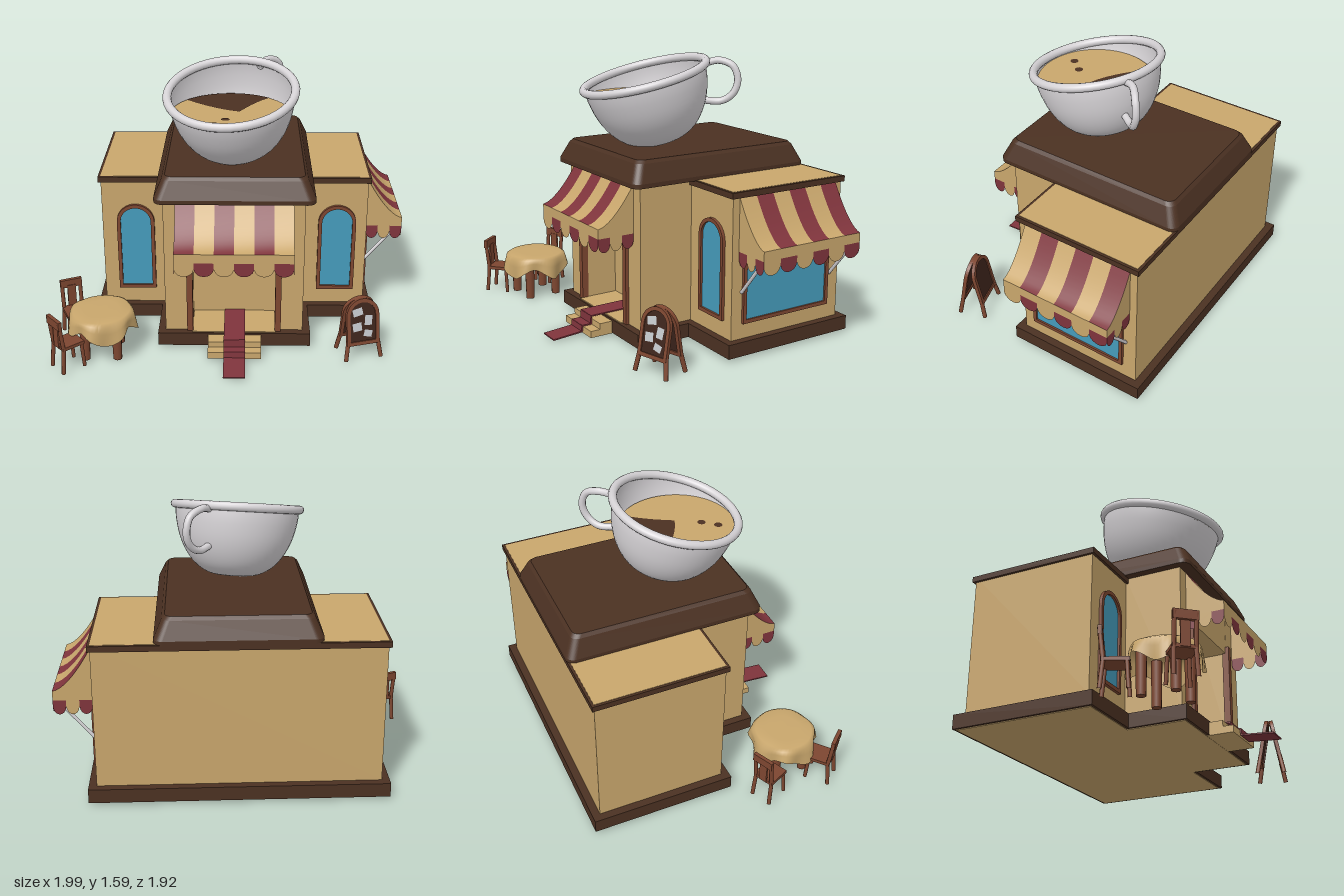
import * as THREE from 'three';

const mat = (name, color, side = THREE.FrontSide) => {
  const m = new THREE.MeshStandardMaterial({ color, side });
  m.name = name;
  return m;
};

export function createModel() {
  const D = THREE.DoubleSide;
  const tan = mat('tan plaster', 0xc8a66c, D), brown = mat('dark brown', 0x4b3122), red = mat('awning red', 0x7f343c, D);
  const wood = mat('red wood', 0x7d4630), glass = mat('blue glass', 0x459bbb), white = mat('cup white', 0xd6d3d6, D);
  const board = mat('sign board', 0x3d241b), paper = mat('paper grey', 0xc4c8cc, D);

  const root = new THREE.Group();
  root.name = 'cafe';
  const shop = new THREE.Group();
  shop.name = 'shop';
  shop.rotation.y = 0.27;
  root.add(shop);

  const add = (parent, name, geo, m, x = 0, y = 0, z = 0) => {
    const o = new THREE.Mesh(geo, m);
    o.name = name;
    o.position.set(x, y, z);
    parent.add(o);
    return o;
  };
  const group = (parent, name, x, y, z, ry) => {
    const g = new THREE.Group();
    g.name = name;
    g.position.set(x, y, z);
    g.rotation.y = ry;
    parent.add(g);
    return g;
  };
  const box = (parent, name, m, w, h, d, x, y, z) => add(parent, name, new THREE.BoxGeometry(w, h, d), m, x, y, z);
  const extrude = (shape, depth) => new THREE.ExtrudeGeometry(shape, { depth, bevelEnabled: false, curveSegments: 10 });
  // Floor plan given as [x, z], raised from y0 to y1
  const plan = (name, pts, m, y0, y1) => add(shop, name,
    extrude(new THREE.Shape(pts.map(([x, z]) => new THREE.Vector2(x, -z))), y1 - y0).rotateX(-Math.PI / 2), m, 0, y0, 0);
  const rod = (parent, name, m, a, b, r) => add(parent, name,
    new THREE.TubeGeometry(new THREE.LineCurve3(new THREE.Vector3(...a), new THREE.Vector3(...b)), 1, r, 8), m);

  // Plinth, walls with the entrance recess, flat side roofs
  const tee = (x0, x1, z0, z1, cx0, cx1, cz) =>
    [[x0, z0], [x1, z0], [x1, z1], [cx1, z1], [cx1, cz], [cx0, cz], [cx0, z1], [x0, z1]];
  plan('plinth', tee(-0.825, 0.855, -0.758, 0.092, -0.43, 0.465, 0.43), brown, 0.018, 0.1);
  plan('underside', tee(-0.81, 0.84, -0.743, 0.077, -0.415, 0.45, 0.415), tan, 0.014, 0.018);
  plan('walls', [[-0.78, -0.713], [0.81, -0.713], [0.81, 0.047], [0.42, 0.047], [0.42, 0.385], [0.265, 0.385],
    [0.265, 0.17], [-0.232, 0.17], [-0.232, 0.385], [-0.387, 0.385], [-0.387, 0.047], [-0.78, 0.047]], tan, 0.1, 0.94);
  plan('sideRoof', [[-0.795, -0.728], [0.825, -0.728], [0.825, 0.062], [-0.795, 0.062]], brown, 0.905, 0.938);
  box(shop, 'lintel', tan, 0.5, 0.28, 0.21, 0.016, 0.8, 0.279);
  box(shop, 'porchFloor', tan, 0.49, 0.006, 0.25, 0.016, 0.103, 0.295);

  // Raised centre roof: rounded rectangle, tapering upward
  const rw = 0.455, rd = 0.59, rr = 0.05;
  const rs = new THREE.Shape();
  rs.absarc(rw - rr, rd - rr, rr, 0, Math.PI / 2);
  rs.absarc(-rw + rr, rd - rr, rr, Math.PI / 2, Math.PI);
  rs.absarc(-rw + rr, -rd + rr, rr, Math.PI, Math.PI * 1.5);
  rs.absarc(rw - rr, -rd + rr, rr, Math.PI * 1.5, Math.PI * 2);
  const tier = (y0, y1, in0, in1) => {
    const g = extrude(rs, y1 - y0).rotateX(-Math.PI / 2), p = g.attributes.position;
    for (let i = 0; i < p.count; i++) {
      const s = p.getY(i) > (y1 - y0) / 2 ? in1 : in0;
      p.setX(i, p.getX(i) * (1 - s / rw));
      p.setZ(i, p.getZ(i) * (1 - s / rd));
    }
    g.computeVertexNormals();
    add(shop, 'centreRoof', g, brown, 0.02, y0, -0.14);
  };
  tier(0.935, 0.96, 0, 0);
  tier(0.96, 1.06, 0, 0.045);
  tier(1.06, 1.078, 0.045, 0.062);

  // Arched windows
  const arch = (w, h, y0 = 0) => {
    const s = new THREE.Shape(), r = w / 2;
    s.moveTo(-r, y0);
    s.lineTo(r, y0);
    s.lineTo(r, h - r);
    s.absarc(0, h - r, r, 0, Math.PI);
    s.lineTo(-r, y0);
    return s;
  };
  const archFrame = (w, h, y0, t) => {
    const s = arch(w, h, y0);
    s.holes.push(arch(w - 2 * t, h - t, y0 + t));
    return s;
  };
  for (const x of [-0.58, 0.632]) {
    add(shop, 'windowFrame', extrude(archFrame(0.226, 0.56, 0, 0.022), 0.02), wood, x, 0.2, 0.045);
    add(shop, 'windowGlass', extrude(arch(0.19, 0.545, 0.015), 0.006), glass, x, 0.2, 0.046);
  }
  // Large side window
  const wz = -0.328, wy = 0.445;
  box(shop, 'sideGlass', glass, 0.008, 0.49, 0.58, 0.813, wy, wz);
  for (const s of [-1, 1]) {
    box(shop, 'sideWindowFrame', wood, 0.02, 0.51, 0.022, 0.817, wy, wz + s * 0.293);
    box(shop, 'sideWindowFrame', wood, 0.02, 0.022, 0.608, 0.817, wy + s * 0.245, wz);
    box(shop, 'doorPost', wood, 0.035, 0.6, 0.04, 0.016 + s * 0.258, 0.4, 0.385);
  }

  // Entrance steps and carpet
  box(shop, 'upperStep', tan, 0.31, 0.075, 0.1, 0.02, 0.0525, 0.46);
  box(shop, 'lowerStep', tan, 0.31, 0.04, 0.16, 0.02, 0.035, 0.49);
  const run = [[0.17, 0.11], [0.515, 0.108], [0.517, 0.06], [0.575, 0.06], [0.578, 0.025], [0.76, 0.012]];
  for (let i = 0; i < run.length - 1; i++) {
    const [z0, y0] = run[i], [z1, y1] = run[i + 1];
    const c = box(shop, 'carpet', red, 0.125, 0.008, Math.hypot(z1 - z0, y1 - y0) + 0.004, 0.02, (y0 + y1) / 2, (z0 + z1) / 2);
    c.rotation.x = -Math.atan2(y1 - y0, z1 - z0);
  }

  // Striped awning with closed ends and a scalloped edge
  const scallop = (w, h) => {
    const s = new THREE.Shape();
    s.moveTo(-w / 2, 0);
    s.lineTo(-w / 2, -h * 0.45);
    s.bezierCurveTo(-w * 0.4, -h * 1.15, w * 0.4, -h * 1.15, w / 2, -h * 0.45);
    s.lineTo(w / 2, 0);
    return new THREE.ShapeGeometry(s, 8);
  };
  const awning = (name, x, z, ry, width, depth, top, low, stripes) => {
    const g = group(shop, name, x, 0, z, ry), n = 6, w = width / n, hem = low - 0.055;
    const fall = t => top - (top - low) * (1 - (1 - t) ** 1.6);
    for (let i = 0; i < n; i++) {
      const s = new THREE.PlaneGeometry(w, 1, 1, 10), p = s.attributes.position;
      for (let k = 0; k < p.count; k++) {
        const t = 0.5 - p.getY(k);
        p.setY(k, fall(t));
        p.setZ(k, depth * t);
      }
      s.computeVertexNormals();
      const cx = -width / 2 + w * (i + 0.5);
      add(g, 'stripe', s, stripes[i % 2], cx);
      add(g, 'scallop', scallop(w, 0.085), i % 2 ? red : tan, cx, hem, depth);
    }
    box(g, 'hemBand', tan, width, low - hem, 0.004, 0, (low + hem) / 2, depth - 0.002);
    const end = new THREE.Shape([new THREE.Vector2(0, hem), new THREE.Vector2(-depth, hem)]);
    for (let k = 10; k >= 0; k--) end.lineTo(-depth * k / 10, fall(k / 10));
    for (const s of [-1, 1]) {
      add(g, 'endPanel', new THREE.ShapeGeometry(end).rotateY(Math.PI / 2), tan, s * width / 2);
      for (let k = 0; k < 3; k++)
        add(g, 'endScallop', scallop(depth / 3, 0.085).rotateY(Math.PI / 2), k % 2 ? tan : red, s * width / 2, hem, depth * (k + 0.5) / 3);
    }
    return g;
  };
  awning('porchAwning', 0.018, 0.387, 0, 0.668, 0.225, 0.935, 0.71, [red, tan]);
  const side = awning('sideAwning', 0.812, -0.333, Math.PI / 2, 0.675, 0.215, 0.905, 0.66, [tan, red]);
  for (const s of [-1, 1]) rod(side, 'awningStrut', white, [s * 0.315, 0.37, 0], [s * 0.315, 0.61, 0.2], 0.01);

  // Giant tilted cup on the roof
  const cup = group(root, 'cup', 0.02, 1.475, 0.09, 0);
  cup.rotation.x = 0.25;
  const bowl = [[0, -0.4], [0.1, -0.4], [0.17, -0.38], [0.235, -0.335], [0.29, -0.265], [0.33, -0.18], [0.355, -0.08], [0.362, 0]];
  const curve = new THREE.SplineCurve(bowl.map(([x, y]) => new THREE.Vector2(x, y)));
  const profile = curve.getPoints(24);
  profile.forEach(p => { p.x = Math.max(p.x, 0); });
  add(cup, 'cupBowl', new THREE.LatheGeometry(profile, 48), white);
  add(cup, 'cupRim', new THREE.TorusGeometry(0.365, 0.025, 12, 48).rotateX(Math.PI / 2), white);
  const loop = [[0.1, 1.54, -0.24], [0.125, 1.56, -0.33], [0.17, 1.53, -0.4], [0.185, 1.45, -0.425],
    [0.175, 1.37, -0.4], [0.14, 1.325, -0.34], [0.1, 1.33, -0.23]];
  add(root, 'cupHandle', new THREE.TubeGeometry(new THREE.CatmullRomCurve3(loop.map(p => new THREE.Vector3(...p))), 32, 0.021, 10), white);

  // Level drink with a dark swirl and specks
  add(root, 'drink', new THREE.CircleGeometry(0.338, 48).rotateX(-Math.PI / 2), tan, 0.02, 1.36, 0.095);
  const swirl = new THREE.Shape();
  swirl.moveTo(0.05, 0.005);
  swirl.quadraticCurveTo(0.09, 0.2, 0.15, 0.295);
  swirl.absarc(0, 0, 0.331, 1.1, 2.75);
  swirl.quadraticCurveTo(-0.1, 0.01, 0.05, 0.005);
  add(root, 'darkSwirl', new THREE.ShapeGeometry(swirl, 20).rotateX(-Math.PI / 2), brown, 0.02, 1.364, 0.095);
  for (const [x, z] of [[0.03, 0.24], [-0.01, 0.33]])
    add(root, 'speck', new THREE.CircleGeometry(0.024, 10).rotateX(-Math.PI / 2), brown, x, 1.364, z);

  // Table with a draped cloth
  const table = group(root, 'table', -0.6, 0, 0.65, 0.3);
  const cloth = new THREE.LatheGeometry([[0, 0.28], [0.1, 0.28], [0.165, 0.278], [0.185, 0.265], [0.19, 0.23], [0.195, 0.17]]
    .map(([x, y]) => new THREE.Vector2(x, y)), 56);
  const cp = cloth.attributes.position;
  for (let i = 0; i < cp.count; i++) {
    const x = cp.getX(i), y = cp.getY(i), z = cp.getZ(i), a = Math.atan2(z, x), d = (0.28 - y) / 0.11;
    const k = 1 + d * 0.08 * Math.cos(7 * a);
    cp.setXYZ(i, x * k, y - 0.035 * d * Math.cos(4 * a + 1), z * k);
  }
  cloth.computeVertexNormals();
  add(table, 'tablecloth', cloth, tan);
  for (let i = 0; i < 4; i++) {
    const a = i * Math.PI / 2 + Math.PI / 4;
    add(table, 'tableLeg', new THREE.CylinderGeometry(0.03, 0.026, 0.25, 10), wood, 0.13 * Math.cos(a), 0.13, 0.13 * Math.sin(a));
  }

  // Chairs, facing local +z
  for (const [x, z, ry] of [[-0.825, 0.525, 0.69], [-0.725, 0.855, 2.55]]) {
    const c = group(root, 'chair', x, 0, z, ry);
    box(c, 'seat', wood, 0.13, 0.02, 0.14, 0, 0.16, 0);
    for (const s of [-1, 1]) {
      rod(c, 'frontLeg', wood, [s * 0.06, 0.005, 0.065], [s * 0.054, 0.16, 0.055], 0.011);
      rod(c, 'backLeg', wood, [s * 0.06, 0.005, -0.075], [s * 0.055, 0.165, -0.06], 0.012);
      rod(c, 'backPost', wood, [s * 0.055, 0.15, -0.06], [s * 0.055, 0.33, -0.08], 0.012);
    }
    box(c, 'topRail', wood, 0.13, 0.05, 0.022, 0, 0.315, -0.078);
    box(c, 'backSlat', wood, 0.05, 0.15, 0.012, 0, 0.23, -0.069);
  }

  // Folding sign with notes on its front
  const sign = group(root, 'foldingSign', 0.845, 0, 0.25, 0.56);
  for (const front of [true, false]) {
    const half = group(sign, 'signHalf', 0, 0, 0, front ? 0 : Math.PI);
    const p = group(half, 'signPanel', 0, 0.005, 0.08, 0);
    p.rotation.x = -0.19;
    add(p, 'signFrame', extrude(archFrame(0.2, 0.37, 0.09, 0.022), 0.022), wood, 0, 0, -0.011);
    add(p, 'signBoard', extrude(arch(0.165, 0.355, 0.105), 0.008), board, 0, 0, -0.004);
    for (const s of [-1, 1]) rod(p, 'signLeg', wood, [s * 0.108, 0, 0], [s * 0.09, 0.12, 0], 0.013);
    if (!front) continue;
    for (const [x, y, w, h, r] of [[-0.03, 0.29, 0.06, 0.045, 0.2], [0.035, 0.235, 0.045, 0.06, -0.1], [-0.035, 0.2, 0.055, 0.05, 0.1], [0.03, 0.155, 0.05, 0.04, -0.25]])
      add(p, 'note', new THREE.PlaneGeometry(w, h), paper, x, y, 0.006).rotation.z = r;
  }
  return root;
}
